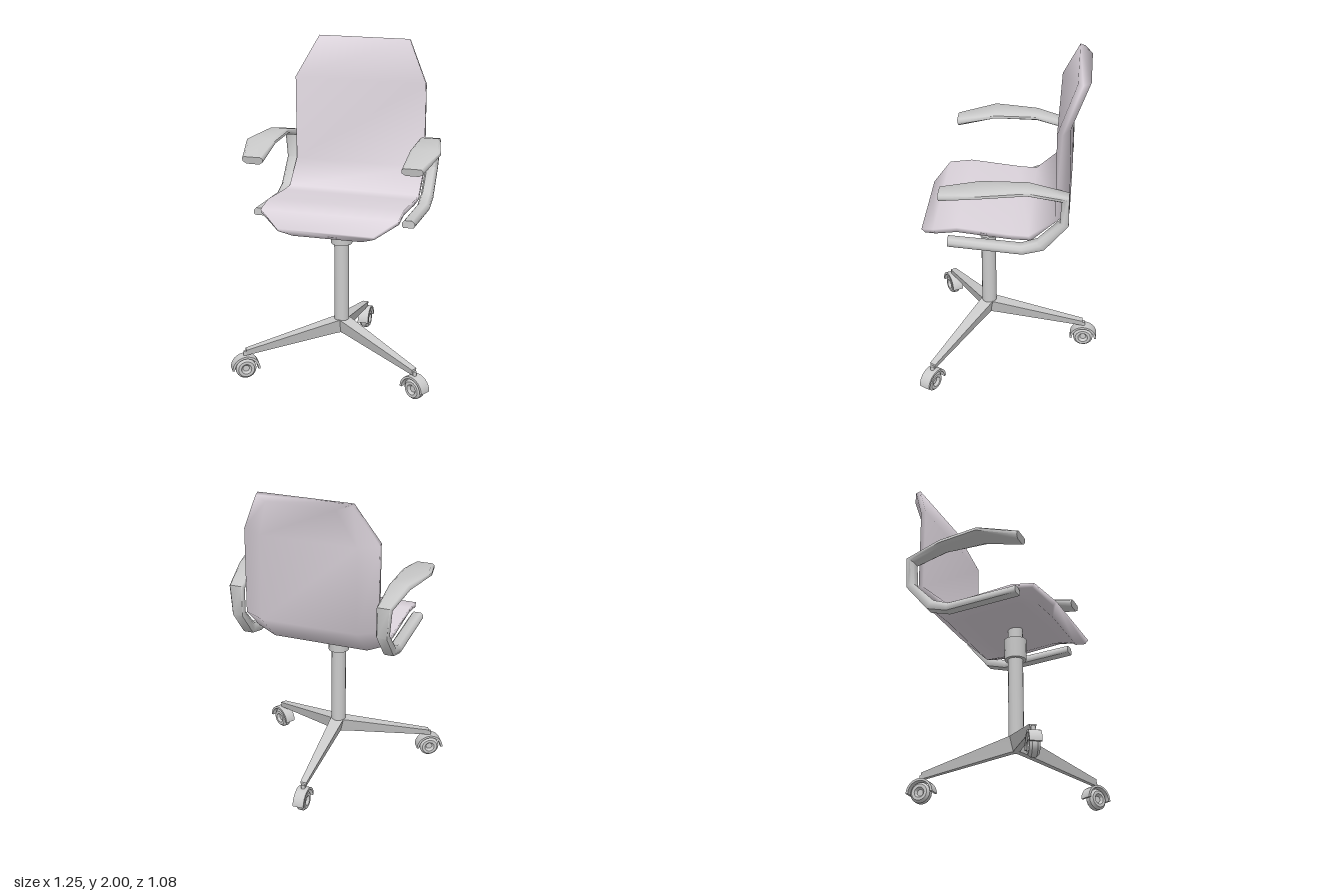
import * as THREE from 'three';
import { toCreasedNormals } from 'three/addons/utils/BufferGeometryUtils.js';

const grey = new THREE.MeshStandardMaterial({ color: 0xcccccc });
const shellMat = new THREE.MeshStandardMaterial({ color: 0xdcd4dc });

const part = (name, geometry, material = grey) => {
  const mesh = new THREE.Mesh(geometry, material);
  mesh.name = name;
  return mesh;
};

// Closed skin over equal-sized rings, each counter-clockwise about the direction of travel
function loft(rings) {
  const n = rings[0].length, last = (rings.length - 1) * n, index = [];
  for (let i = 0; i < rings.length - 1; i++) {
    for (let j = 0; j < n; j++) {
      const a = i * n + j, b = i * n + (j + 1) % n;
      index.push(a, b, b + n, a, b + n, a + n);
    }
  }
  for (let j = 1; j < n - 1; j++) {
    index.push(0, j + 1, j, last, last + j, last + j + 1);
  }
  const g = new THREE.BufferGeometry();
  g.setAttribute('position', new THREE.Float32BufferAttribute(rings.flat(2), 3));
  g.setIndex(index);
  g.computeVertexNormals();
  return g;
}

const mix = THREE.MathUtils.lerp;

// Seat and back in one shell: inner z, y, outer z, y, half width
function seatShell() {
  const profile = [
    [0.54, 1.02, 0.485, 0.965, 0.29],
    [0.45, 1.10, 0.415, 1.035, 0.417],
    [0.31, 1.12, 0.31, 1.045, 0.417],
    [0.0, 1.085, 0.0, 1.01, 0.417],
    [-0.11, 1.08, -0.15, 1.01, 0.417],
    [-0.265, 1.22, -0.345, 1.20, 0.417],
    [-0.265, 1.75, -0.34, 1.73, 0.417],
    [-0.37, 2.0, -0.445, 1.975, 0.29],
  ];
  // Flat inside, outside thinning towards the side edges
  const section = [[-1, 0], [1, 0], [1, 0.4], [0.72, 1], [-0.72, 1], [-1, 0.4]];
  return loft(profile.map(([iz, iy, oz, oy, w]) =>
    section.map(([u, v]) => [u * w, mix(iy, oy, v), mix(iz, oz, v)])));
}

// C-shaped arm: inside z, y, outside z, y, inner x, outer x
function armrest(side) {
  const path = [
    [0.36, 1.075, 0.36, 1.03, 0.417, 0.493],
    [-0.07, 1.045, -0.08, 0.995, 0.417, 0.493],
    [-0.165, 1.08, -0.205, 1.03, 0.417, 0.493],
    [-0.295, 1.215, -0.345, 1.20, 0.417, 0.493],
    [-0.30, 1.36, -0.345, 1.39, 0.417, 0.507],
    [-0.11, 1.41, -0.11, 1.45, 0.417, 0.545],
    [0.15, 1.41, 0.16, 1.45, 0.417, 0.597],
    [0.39, 1.355, 0.40, 1.40, 0.417, 0.543],
  ];
  const section = [[0.18, 0], [0.8, 0], [1, 0.35], [1, 0.75], [0.9, 1], [0.1, 1], [0, 0.75], [0, 0.35]];
  const rings = path.map(([iz, iy, oz, oy, x0, x1]) => {
    const ring = section.map(([u, v]) => [side * mix(x0, x1, u), mix(iy, oy, v), mix(iz, oz, v)]);
    return side > 0 ? ring : ring.reverse();
  });
  return toCreasedNormals(loft(rings), 1.0);
}

// Tapered foot running out along +z
function legGeometry() {
  const ring = (z, yb, yt, b, t) => [[-b, yb, z], [b, yb, z], [t, yt, z], [-t, yt, z]];
  return toCreasedNormals(loft([
    ring(0, 0.24, 0.335, 0.02, 0.045),
    ring(0.04, 0.237, 0.328, 0.02, 0.042),
    ring(0.61, 0.15, 0.188, 0.012, 0.02),
  ]), 0.6);
}

// Wheel with dished hub, half-round fender and stem
function caster() {
  const group = new THREE.Group();
  group.name = 'caster';
  const half = [[0.064, 0.015], [0.05, 0.03], [0.032, 0.03], [0.02, 0.014], [0, 0.014]];
  const outline = [...half.map(([r, h]) => [r, -h]).reverse(), ...half];
  const wheel = part('wheel', toCreasedNormals(
    new THREE.LatheGeometry(outline.map(([r, h]) => new THREE.Vector2(r, h)), 20), 0.7));
  wheel.rotation.z = Math.PI / 2;
  wheel.position.y = 0.064;

  const arch = new THREE.Shape();
  arch.absarc(0, 0, 0.087, 0, Math.PI, false);
  arch.absarc(0, 0, 0.073, Math.PI, 0, true);
  const fenderGeometry = new THREE.ExtrudeGeometry(arch, { depth: 0.07, bevelEnabled: false, curveSegments: 10 });
  fenderGeometry.translate(0, 0, -0.035).rotateY(Math.PI / 2);
  const fender = part('fender', toCreasedNormals(fenderGeometry, 0.6));
  fender.position.y = 0.062;

  const stem = part('casterStem', new THREE.CylinderGeometry(0.012, 0.012, 0.04, 10));
  stem.position.y = 0.155;
  group.add(wheel, fender, stem);
  return group;
}

export function createModel() {
  const chair = new THREE.Group();
  chair.name = 'swivelChair';
  chair.position.x = -0.009;

  chair.add(part('seatShell', seatShell(), shellMat));
  chair.add(part('leftArmrest', armrest(1)), part('rightArmrest', armrest(-1)));

  // Column stack: top radius, bottom radius, bottom y, top y
  const base = new THREE.Group();
  base.name = 'base';
  base.position.z = 0.165;
  const stack = {
    hub: [0.046, 0.022, 0.238, 0.33],
    column: [0.046, 0.046, 0.33, 0.84],
    collar: [0.07, 0.066, 0.83, 0.96],
    pivotPin: [0.046, 0.046, 0.95, 1.05],
  };
  for (const [name, [top, bottom, y0, y1]] of Object.entries(stack)) {
    const mesh = part(name, new THREE.CylinderGeometry(top, bottom, y1 - y0, 16));
    mesh.position.y = (y0 + y1) / 2;
    base.add(mesh);
  }

  // Three feet, one straight back
  const foot = legGeometry();
  ['leftLeg', 'backLeg', 'rightLeg'].forEach((name, i) => {
    const leg = new THREE.Group();
    leg.name = name;
    leg.rotation.y = Math.PI / 3 + i * Math.PI * 2 / 3;
    const wheelSet = caster();
    wheelSet.position.z = 0.615;
    leg.add(part('foot', foot), wheelSet);
    base.add(leg);
  });
  chair.add(base);

  const model = new THREE.Group();
  model.name = 'officeChair';
  model.add(chair);
  return model;
}
